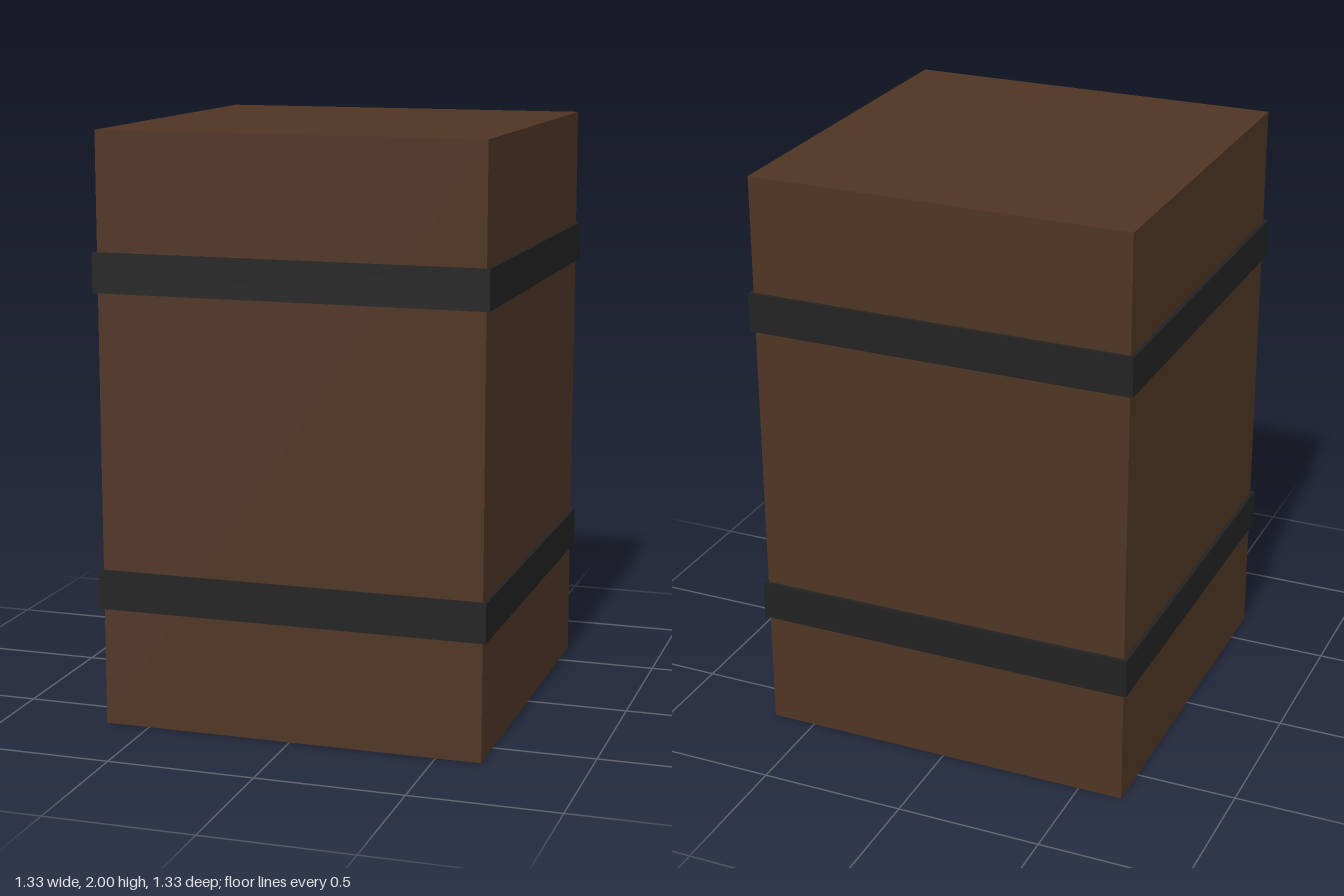
import * as THREE from 'three';

export function createModel() {
  const group = new THREE.Group();

  const wood = new THREE.MeshStandardMaterial({ color: 0x4e3423, side: THREE.DoubleSide });
  wood.name = 'dark wood';
  const iron = new THREE.MeshStandardMaterial({ color: 0x222222 });
  iron.name = 'black iron';

  const width = 1.306, height = 2;
  const bandWidth = 1.333, bandHeight = 0.133;

  // Thin wooden shell: four walls and a top, open underneath
  const shell = new THREE.BoxGeometry(width, height, width);
  const faces = Array.from(shell.index.array);
  faces.splice(18, 6); // drop the bottom face
  shell.setIndex(faces);
  shell.clearGroups();
  const body = new THREE.Mesh(shell, wood);
  body.name = 'body';
  body.position.y = height / 2;
  group.add(body);

  // Solid bands; the lower one closes the hollow from inside
  for (const [name, y] of [['lowerBand', 0.47], ['upperBand', 1.537]]) {
    const band = new THREE.Mesh(new THREE.BoxGeometry(bandWidth, bandHeight, bandWidth), iron);
    band.name = name;
    band.position.y = y;
    group.add(band);
  }

  return group;
}
